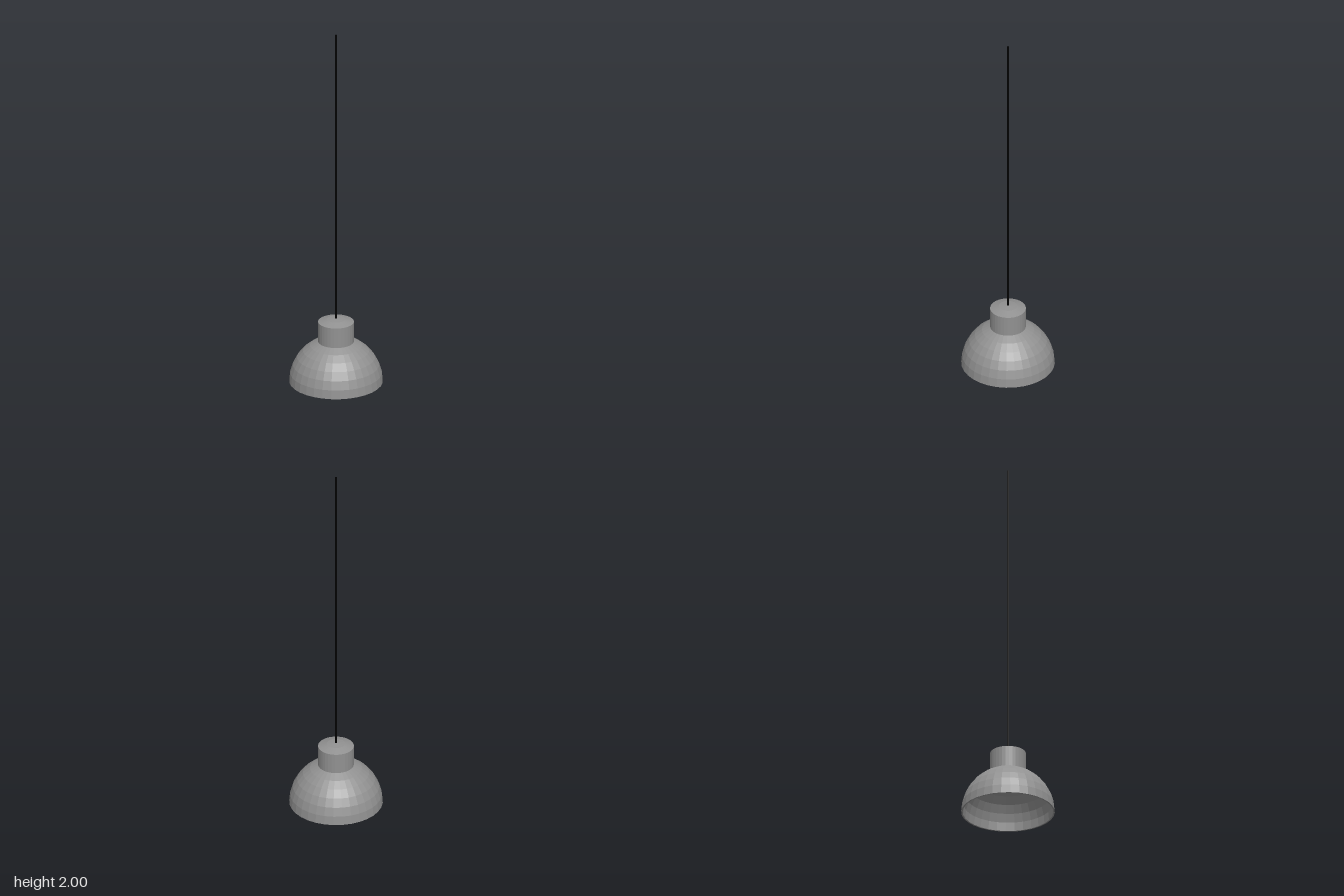
import * as THREE from 'three';

const R = 0.249;        // dome radius
const WALL = 0.008;     // sheet thickness
const LIFT = 0.113;     // neck height: the dome's crown is raised by this much
const SIDES = 32;
const RINGS = 8;        // dome rings from rim to crown
const NECK_RING = 2;    // ring where the dome meets the neck

// Hemisphere profile whose crown is lifted to form a neck, from rim to axis
function domeProfile(radius) {
  const points = [];
  for (let i = RINGS; i >= 0; i--) {
    const a = (i / RINGS) * Math.PI / 2;
    const x = i === 0 ? 0 : radius * Math.sin(a);
    const y = i === RINGS ? 0 : radius * Math.cos(a);
    if (i >= NECK_RING) points.push(new THREE.Vector2(x, y));
    if (i <= NECK_RING) points.push(new THREE.Vector2(x, y + LIFT));
  }
  return points;
}

export function createModel() {
  const group = new THREE.Group();
  group.name = 'pendantLamp';

  // Hollow grey shade: down the inside, across the rim, up the outside
  const profile = [...domeProfile(R - WALL).reverse(), ...domeProfile(R)];
  const shade = new THREE.Mesh(
    new THREE.LatheGeometry(profile, SIDES),
    new THREE.MeshStandardMaterial({ color: 0x919191, flatShading: true })
  );
  shade.name = 'shade';
  group.add(shade);

  // Black hanging cord, seated in the crown
  const bottom = R + LIFT - WALL / 2;
  const cord = new THREE.Mesh(
    new THREE.CylinderGeometry(0.0047, 0.0047, 2 - bottom, 16),
    new THREE.MeshStandardMaterial({ color: 0x000000 })
  );
  cord.name = 'cord';
  cord.position.y = (2 + bottom) / 2;
  group.add(cord);

  return group;
}
